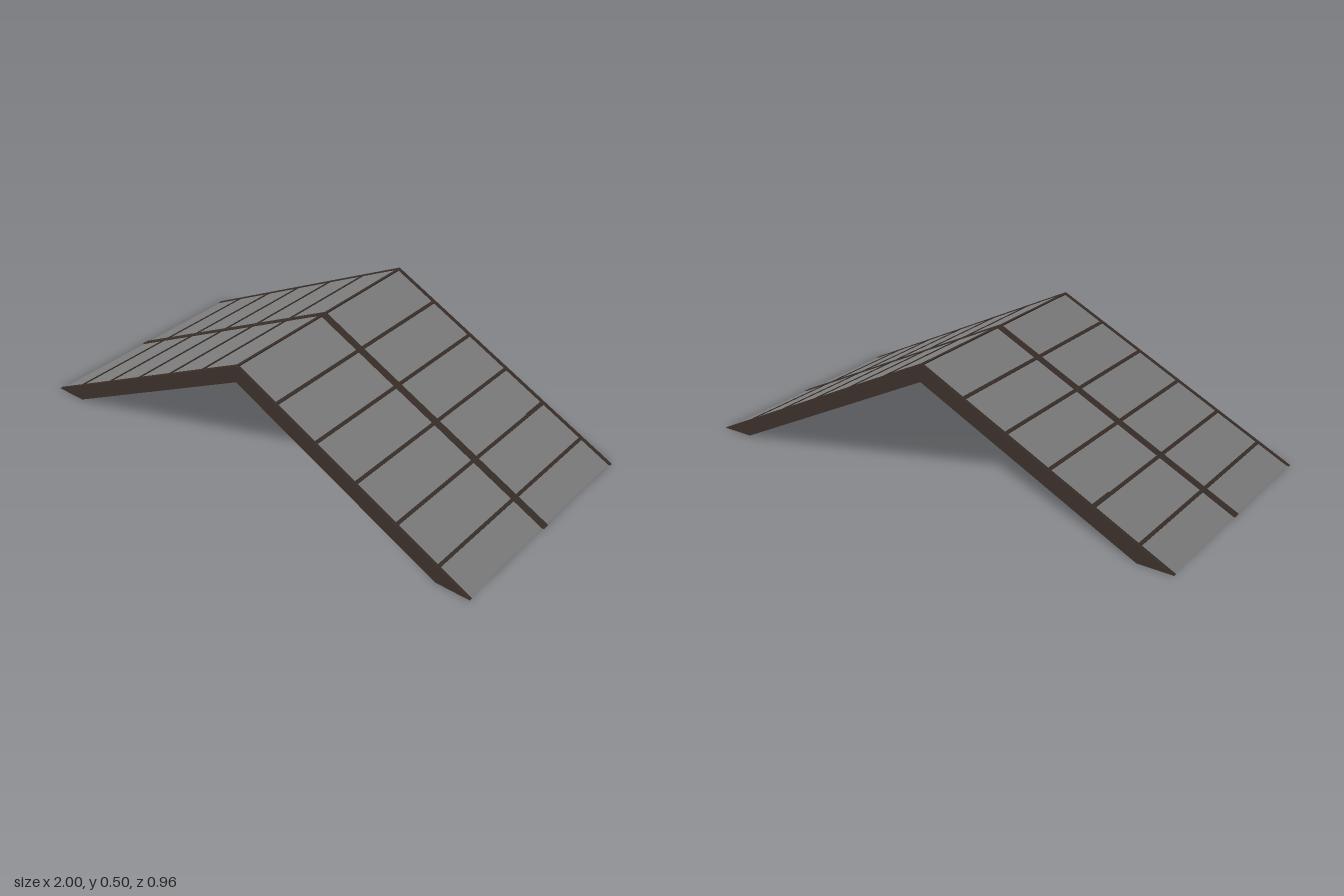
import * as THREE from 'three';

const RISE = 0.497, SLOPE = RISE; // half span is 1
const ANGLE = Math.atan(SLOPE);

// Gable-shaped band between two vertical offsets below the roof line, cut level at the eaves
function gable(top, bottom, depth, z) {
  const xo = 1 - top / SLOPE, xi = 1 - bottom / SLOPE;
  const shape = new THREE.Shape([
    [-xo, 0], [-xi, 0], [0, RISE - bottom], [xi, 0], [xo, 0], [0, RISE - top],
  ].map(([x, y]) => new THREE.Vector2(x, y)));
  const g = new THREE.ExtrudeGeometry(shape, { depth, bevelEnabled: false });
  return g.translate(0, 0, z - depth / 2);
}

export function createModel() {
  const model = new THREE.Group();
  const frame = new THREE.MeshStandardMaterial({ color: 0x3b302a });
  const glass = new THREE.MeshStandardMaterial({ color: 0x808080, side: THREE.DoubleSide });

  const add = (name, geometry, material) => {
    const mesh = new THREE.Mesh(geometry, material);
    mesh.name = name;
    model.add(mesh);
    return mesh;
  };

  // Two narrow end rafters and a wider middle rafter
  add('frontRafter', gable(0, 0.067, 0.014, 0.472), frame);
  add('middleRafter', gable(0, 0.067, 0.03, 0), frame);
  add('backRafter', gable(0, 0.067, 0.014, -0.472), frame);

  // Thin panes filling both bays
  for (const s of [1, -1]) {
    add(s > 0 ? 'frontPanes' : 'backPanes', gable(0.004, 0.008, 0.45, s * 0.24), glass);
  }

  // Glazing bars running along both slopes
  for (const side of [1, -1]) {
    for (let i = 1; i <= 5; i++) {
      const x = 0.173 * i;
      const bar = add('glazingBar', new THREE.BoxGeometry(0.013, 0.014, 0.94), frame);
      bar.position.set(side * x, RISE - SLOPE * x - 0.0085, 0);
      bar.rotation.z = -side * ANGLE;
    }
    // Short stay beside the fourth bar at the back
    const stay = add('stay', new THREE.BoxGeometry(0.007, 0.01, 0.11), frame);
    stay.position.set(side * 0.687, RISE - SLOPE * 0.687 - 0.007, -0.412);
    stay.rotation.z = -side * ANGLE;
  }

  // Ridge bar
  add('ridgeBar', new THREE.BoxGeometry(0.011, 0.02, 0.94), frame).position.y = RISE - 0.013;

  return model;
}
